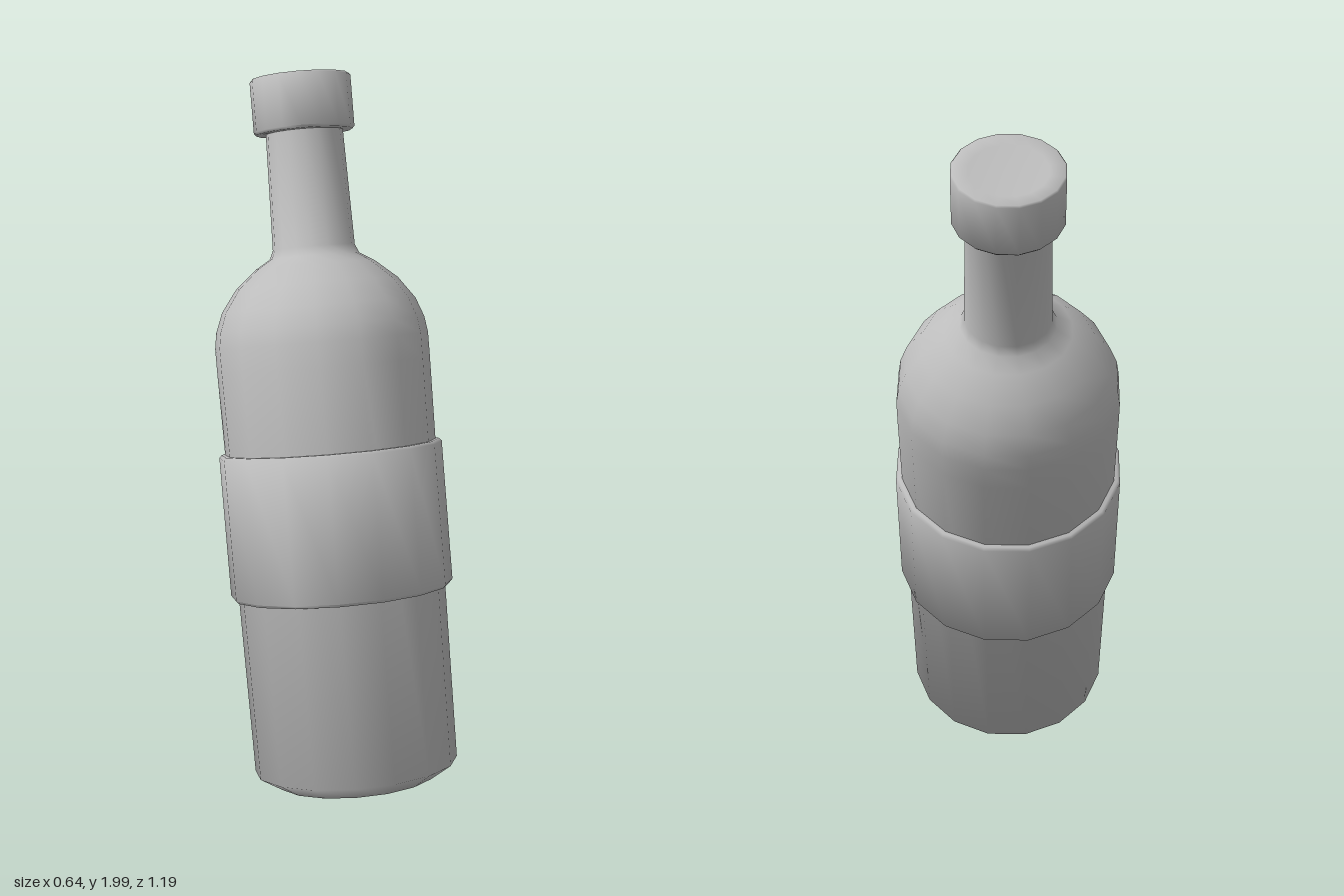
import * as THREE from 'three';
import { toCreasedNormals } from 'three/addons/utils/BufferGeometryUtils.js';

const SIDES = 16;
const TWIST = THREE.MathUtils.degToRad(6.8);

// Turn a [radius, height] profile, listed from bottom to top, around the bottle axis
function turned(name, profile, material) {
  const points = profile.map(([r, y]) => new THREE.Vector2(r, y));
  const lathe = new THREE.LatheGeometry(points, SIDES, TWIST);
  const mesh = new THREE.Mesh(toCreasedNormals(lathe, 1.08), material);
  mesh.name = name;
  return mesh;
}

export function createModel() {
  const grey = new THREE.MeshStandardMaterial({ color: 0xbcbcbc });
  grey.name = 'plain grey';

  const bottle = new THREE.Group();
  bottle.name = 'bottle';

  // Glass: hollow base, bevelled foot, slightly flared body, round shoulder and neck
  bottle.add(turned('glass', [
    [0, 0.06], [0.09, 0.05], [0.17, 0.028], [0.23, 0],
    [0.293, 0.04], [0.305, 1.2], [0.305, 1.27], [0.298, 1.315], [0.277, 1.37],
    [0.232, 1.432], [0.17, 1.485], [0.128, 1.51], [0.117, 1.535],
    [0.109, 1.88],
  ], grey));

  // Raised label band with narrow bevelled rims
  bottle.add(turned('labelBand', [
    [0.29, 0.55], [0.313, 0.55], [0.32, 0.558],
    [0.32, 0.957], [0.313, 0.965], [0.29, 0.965],
  ], grey));

  // Cap with a faintly dished top
  bottle.add(turned('cap', [
    [0.1, 1.86], [0.137, 1.86], [0.143, 1.867],
    [0.143, 2.01], [0.139, 2.015], [0.1, 2.011], [0, 2.008],
  ], grey));

  // Lean the whole bottle backwards and slightly to its left
  const axis = new THREE.Vector3(0.05, 1.85, -0.815).normalize();
  bottle.quaternion.setFromUnitVectors(new THREE.Vector3(0, 1, 0), axis);
  bottle.position.set(-0.022, 0.095, 0.35);

  const model = new THREE.Group();
  model.name = 'leaningBottle';
  model.add(bottle);
  return model;
}
